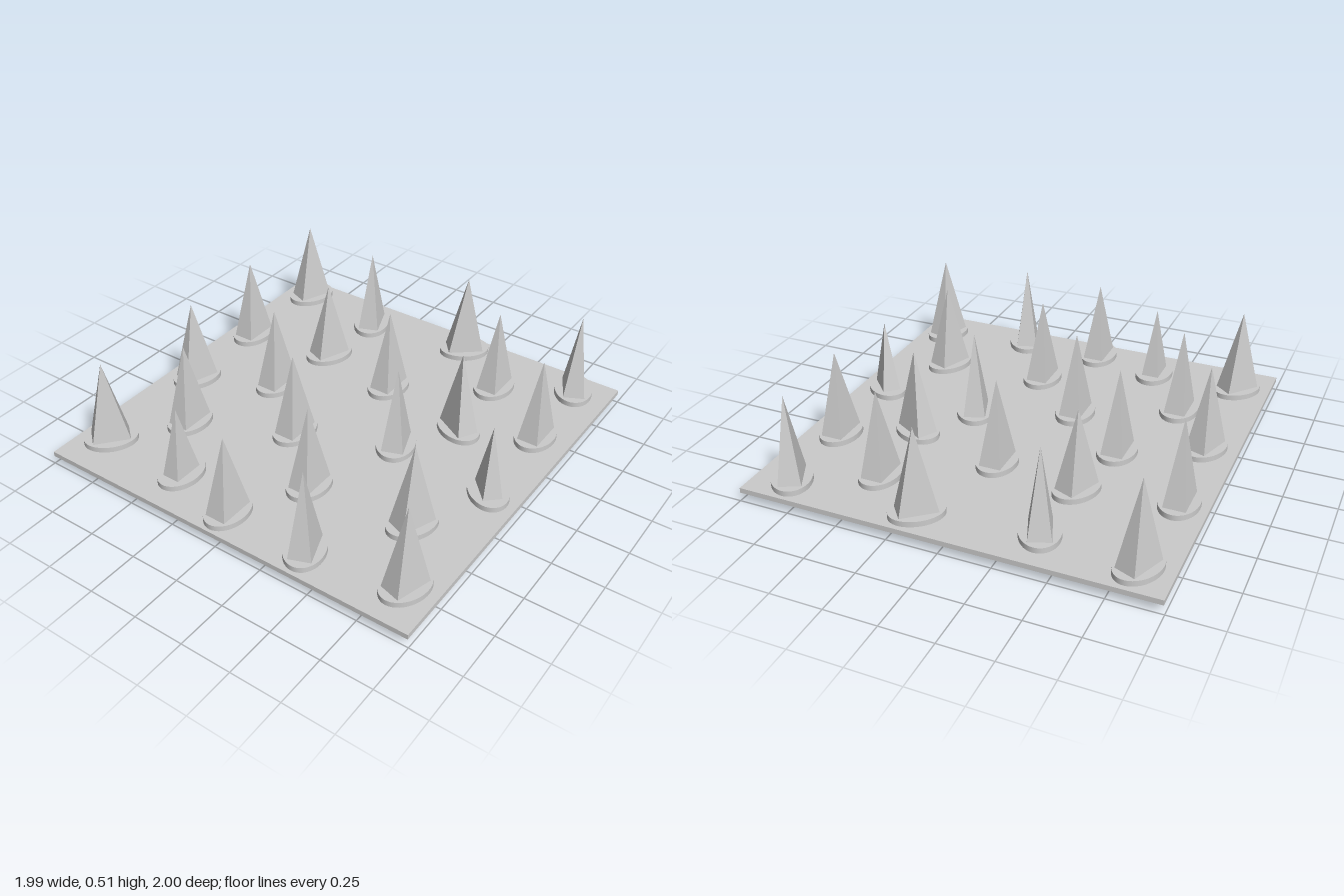
import * as THREE from 'three';

// x, z, turn about y, tip height, base height
const SPIKES = [
  [-0.84, -0.85, -0.38], [-0.385, -0.795, 0.37], [0.165, -0.865, -0.88], [0.81, -0.855, 0.46],
  [0.46, -0.66, 0], [-0.86, -0.345, 0], [-0.405, -0.42, -0.38, 0.49], [0.015, -0.355, 0],
  [0.825, -0.41, 0], [0.49, -0.25, 1.05], [-0.465, -0.045, 0], [-0.84, 0.145, -0.32],
  [0.31, 0.03, 0.35], [0.84, 0.08, 0.75, 0.445, 0.005], [-0.15, 0.22, 0], [-0.62, 0.45, 0],
  [0.145, 0.5, 0], [0.67, 0.455, -0.37], [-0.835, 0.775, -0.7], [-0.385, 0.775, 0, 0.445, 0],
  [-0.04, 0.855, 0, 0.49], [0.385, 0.855, 0.36], [0.85, 0.79, -0.28],
];
const PLATE_BOTTOM = 0.045, PLATE_TOP = 0.07, COLLAR_TOP = 0.097;

export function createModel() {
  const model = new THREE.Group();
  const smooth = new THREE.MeshStandardMaterial({ color: 0xcccccc });
  const flat = new THREE.MeshStandardMaterial({ color: 0xcccccc, flatShading: true });

  const add = (parent, name, geometry, material, y) => {
    const mesh = new THREE.Mesh(geometry, material);
    mesh.name = name;
    mesh.position.y = y;
    parent.add(mesh);
    return mesh;
  };

  // Base plate
  add(model, 'basePlate', new THREE.BoxGeometry(1.99, PLATE_TOP - PLATE_BOTTOM, 2), flat,
    (PLATE_TOP + PLATE_BOTTOM) / 2);

  // Oval collar shared by every spike
  const collarGeometry = new THREE.CylinderGeometry(1, 1, COLLAR_TOP - PLATE_TOP, 40);
  collarGeometry.scale(0.095, 1, 0.13);

  // Unit pyramid with a square base, scaled to a rectangular spike
  const pyramid = new THREE.ConeGeometry(Math.SQRT1_2, 1, 4).rotateY(Math.PI / 4);
  pyramid.translate(0, 0.5, 0);

  // Spikes; two of them are pushed through the plate
  SPIKES.forEach(([x, z, turn, tip = 0.51, base = PLATE_TOP], i) => {
    const group = new THREE.Group();
    group.name = `spike${i + 1}`;
    group.position.set(x, 0, z);
    group.rotation.y = turn;
    add(group, 'collar', collarGeometry, smooth, (COLLAR_TOP + PLATE_TOP) / 2);
    add(group, 'spikePoint', pyramid, flat, base).scale.set(0.113, tip - base, 0.192);
    model.add(group);
  });

  return model;
}
